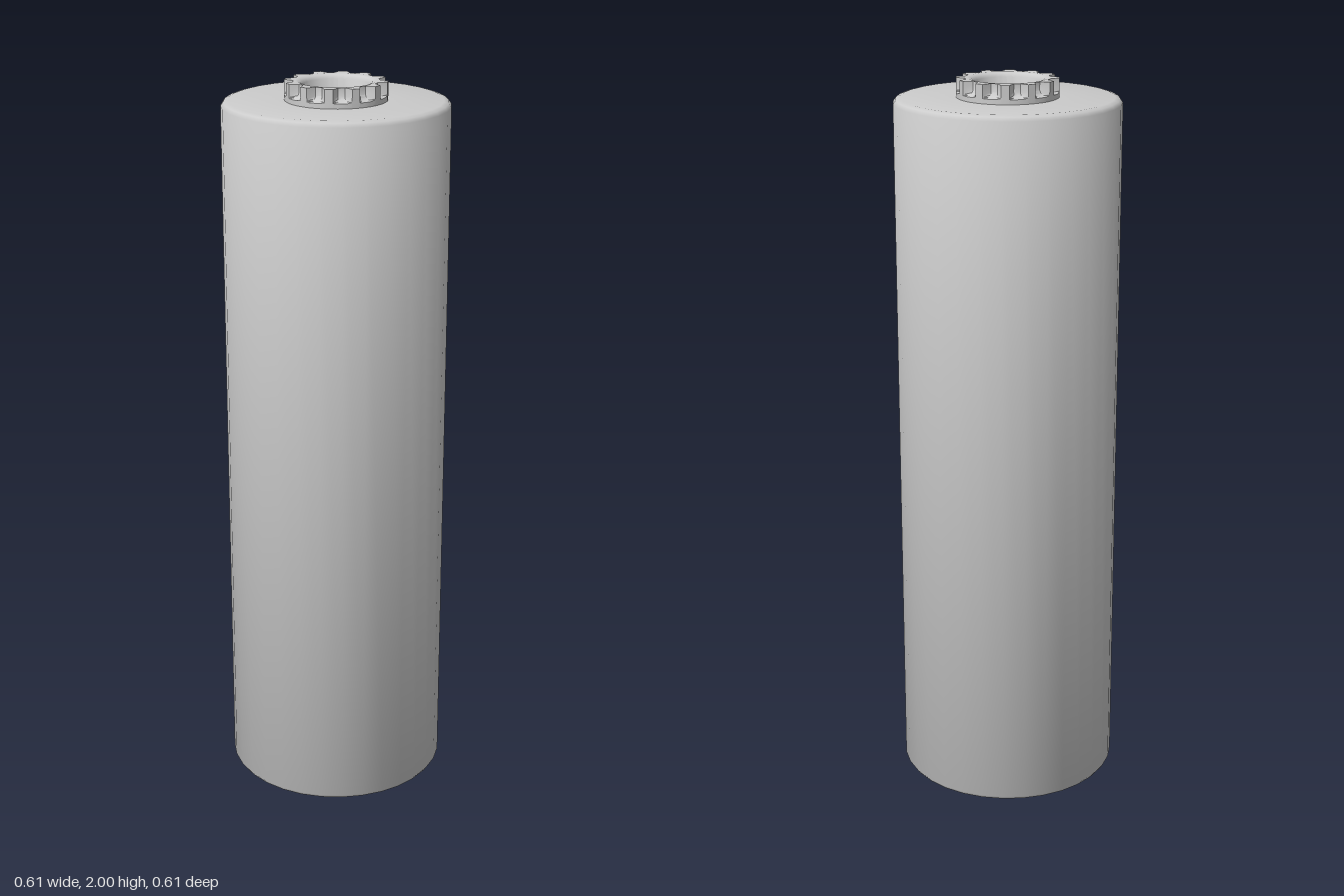
import * as THREE from 'three';
import { toCreasedNormals } from 'three/addons/utils/BufferGeometryUtils.js';

const material = new THREE.MeshStandardMaterial({ color: 0xcccccc });
const CREASE = 0.75;

function part(name, geometry) {
  const mesh = new THREE.Mesh(toCreasedNormals(geometry, CREASE), material);
  mesh.name = name;
  return mesh;
}

function lathe(name, profile, sides) {
  return part(name, new THREE.LatheGeometry(profile.map(([r, y]) => new THREE.Vector2(r, y)), sides));
}

// Skins a stack of closed rings, each an array of Vector3 of equal length
function skin(rings) {
  const n = rings[0].length;
  const index = [];
  for (let i = 0; i < rings.length - 1; i++) {
    for (let j = 0; j < n; j++) {
      const k = (j + 1) % n;
      const a = i * n + j, b = i * n + k, c = (i + 1) * n + k, d = (i + 1) * n + j;
      index.push(a, b, c, a, c, d);
    }
  }
  const geometry = new THREE.BufferGeometry().setFromPoints(rings.flat());
  geometry.setIndex(index);
  geometry.computeVertexNormals();
  return geometry;
}

// Collar outline: twelve teeth, with grooves cut in by the given depth
function toothedRing(radius, y, depth) {
  const points = [];
  for (let tooth = 0; tooth < 12; tooth++) {
    for (const [degrees, cut] of [[-4.5, 0], [4.5, 0], [10.5, 1], [15, 1], [19.5, 1]]) {
      const angle = THREE.MathUtils.degToRad(tooth * 30 + degrees);
      const r = radius - depth * cut;
      points.push(new THREE.Vector3(r * Math.cos(angle), y, -r * Math.sin(angle)));
    }
  }
  return points;
}

export function createModel() {
  const group = new THREE.Group();
  group.name = 'ventedCylinder';

  // Main tube with rounded end rims
  group.add(lathe('body', [
    [0.066, 0], [0.285, 0], [0.298, 0.004], [0.305, 0.014],
    [0.305, 1.936], [0.298, 1.946], [0.285, 1.95], [0.12, 1.95],
  ], 32));

  // Toothed collar: flange, scooped grooves, flat top, countersink and socket wall
  const outer = 0.137;
  group.add(part('collar', skin([
    [outer, 1.948, 0],
    [outer, 1.963, 0],
    [outer, 1.966, 0.012],
    [outer, 1.971, 0.019],
    [outer, 1.978, 0.023],
    [outer, 2.0, 0.023],
    [0.106, 2.0, 0],
    [0.096, 1.997, 0],
    [0.088, 1.988, 0],
    [0.088, 1.75, 0],
  ].map((ring) => toothedRing(...ring)))));

  // Narrow bore through the tube, with a ledge under the socket
  group.add(lathe('bore', [
    [0.09, 1.75], [0.056, 1.75], [0.056, 0.012], [0.066, 0],
  ], 16));

  return group;
}
